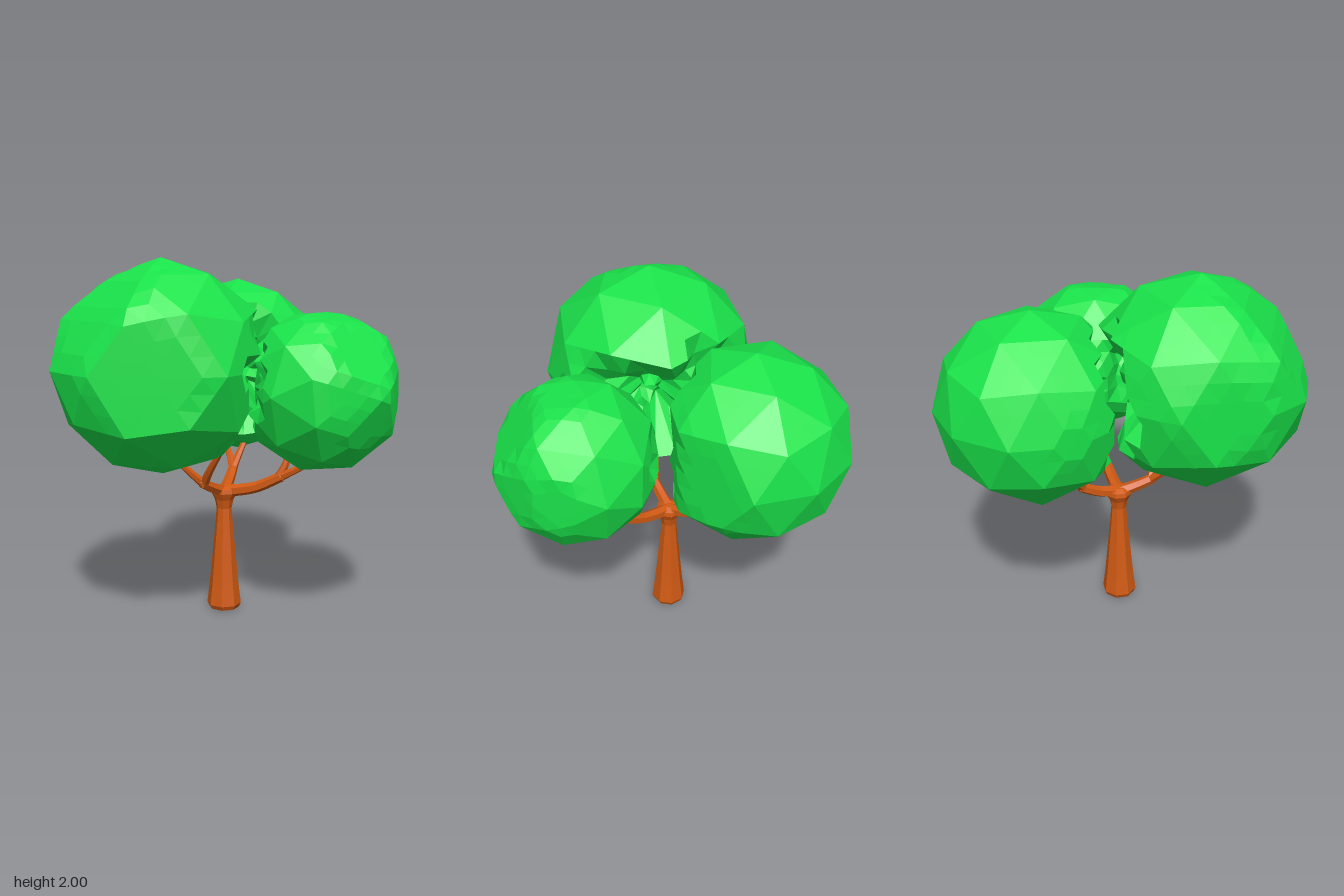
import * as THREE from 'three';
import { mergeVertices } from 'three/addons/utils/BufferGeometryUtils.js';

const leafMat = new THREE.MeshStandardMaterial({ color: 0x1ae34a, flatShading: true, side: THREE.DoubleSide });
const barkMat = new THREE.MeshStandardMaterial({ color: 0xd05a14, flatShading: true });
const V = (x, y, z) => new THREE.Vector3(x, y, z);

// Repeatable value in 0..1 for a point
const hash = (p) => {
  const s = Math.sin(p.x * 127.1 + p.y * 311.7 + p.z * 74.7) * 437.5;
  return s - Math.floor(s);
};

// Low-poly ball whose flat facets are split into k*k smaller triangles
function facetedBall(k) {
  const src = new THREE.IcosahedronGeometry(1, 1).attributes.position;
  const out = [];
  for (let f = 0; f < src.count; f += 3) {
    const [a, b, c] = [0, 1, 2].map((i) => V().fromBufferAttribute(src, f + i));
    const at = (i, j) => a.clone().multiplyScalar((k - i - j) / k)
      .addScaledVector(b, i / k).addScaledVector(c, j / k);
    for (let i = 0; i < k; i++) {
      for (let j = 0; j < k - i; j++) {
        out.push(at(i, j), at(i + 1, j), at(i, j + 1));
        if (i + j < k - 1) out.push(at(i + 1, j), at(i + 1, j + 1), at(i, j + 1));
      }
    }
  }
  return mergeVertices(new THREE.BufferGeometry().setFromPoints(out), 1e-4);
}

// Crowns: flats are [direction, distance] planes that plane the ball down,
// bites are [centre, radius] round hollows on the sides facing the neighbours
const right = V(-0.36, 1.43, -0.04);
const back = V(0.43, 1.37, -0.40);
const front = V(0.31, 1.31, 0.48);
const crowns = [
  { name: 'rightCrown', c: right, size: [0.597, 0.572, 0.572], yaw: 0.314, tilt: 0,
    flats: [[V(-0.63, 0, 0.775), 0.48], [V(-0.406, 0, -0.914), 0.508], [V(-0.846, 0.533, 0), 0.5],
      [V(-0.68, 0.73, 0), 0.49], [V(-0.5, 0.87, 0), 0.51]],
    bites: [[back, 0.52], [front, 0.47], [V(0.08, 1.32, 0.04), 0.24]] },
  { name: 'backLeftCrown', c: back, size: [0.515, 0.512, 0.512], yaw: 0.36, tilt: 0,
    flats: [[V(-0.62, 0, -0.78), 0.48], [V(0.65, 0, 0.76), 0.43], [V(0, 0, 1), 0.42]],
    bites: [[right, 0.62], [V(-0.28, 1.37, 0.31), 0.77]] },
  { name: 'frontLeftCrown', c: front, size: [0.437, 0.437, 0.437], yaw: 0.2, tilt: 0.55,
    flats: [[V(-0.33, 0, 0.944), 0.395], [V(0.58, 0, 0.81), 0.387], [V(0.89, 0, 0.45), 0.39],
      [V(0, 0.607, 0.794), 0.36], [V(0, 0.98, 0.19), 0.39], [V(0, -0.41, 0.91), 0.39]],
    bites: [[right, 0.54], [back, 0.5]] },
];

// Leaf ball with planed facets and ragged hollows
function crown({ name, c, size, yaw, tilt, flats, bites }) {
  let geo = facetedBall(3);
  geo.rotateX(-Math.atan(1.618) + tilt).rotateY(yaw).scale(...size);
  const pos = geo.attributes.position;
  const p = V();
  for (let i = 0; i < pos.count; i++) {
    p.fromBufferAttribute(pos, i);
    const ragged = (hash(p) - 0.5) * 0.11;
    let s = 1;
    for (const [dir, dist] of flats) {
      const d = p.dot(dir);
      if (d > dist) s = Math.min(s, dist / d);
    }
    for (const [centre, radius] of bites) {
      // Where the ray from the crown's middle enters the bite
      const o = centre.clone().sub(c);
      const r = radius + ragged;
      const a = p.lengthSq();
      const b = p.dot(o);
      const disc = b * b - a * (o.lengthSq() - r * r);
      if (b > 0 && disc > 0) s = Math.min(s, (b - Math.sqrt(disc)) / a);
    }
    p.multiplyScalar(s);
    pos.setXYZ(i, p.x, p.y, p.z);
  }
  geo = geo.toNonIndexed();
  geo.computeVertexNormals();
  const mesh = new THREE.Mesh(geo, leafMat);
  mesh.name = name;
  mesh.position.copy(c);
  return mesh;
}

// Tapered six-sided limb along a curve, closed at the tip by a point
function limb(name, points, r0, r1) {
  const n = 7;
  const m = 6;
  const curve = new THREE.CatmullRomCurve3(points);
  const geo = new THREE.TubeGeometry(curve, n, 1, m, false);
  const pos = geo.attributes.position;
  const p = V();
  for (let i = 0; i <= n; i++) {
    const centre = curve.getPointAt(i / n);
    const r = r0 + (r1 - r0) * (i / n);
    for (let j = 0; j <= m; j++) {
      const k = i * (m + 1) + j;
      p.fromBufferAttribute(pos, k).sub(centre).multiplyScalar(r).add(centre);
      pos.setXYZ(k, p.x, p.y, p.z);
    }
  }
  geo.computeVertexNormals();
  const group = new THREE.Group();
  group.name = name;
  const tip = new THREE.Mesh(new THREE.ConeGeometry(r1, r1, m), barkMat);
  const dir = curve.getTangentAt(1);
  tip.position.copy(points[points.length - 1]).addScaledVector(dir, r1 / 2);
  tip.quaternion.setFromUnitVectors(V(0, 1, 0), dir);
  group.add(new THREE.Mesh(geo, barkMat), tip);
  return group;
}

export function createModel() {
  const tree = new THREE.Group();
  tree.name = 'tree';

  // Trunk with a chamfered foot and a flared top
  const profile = [[0, 0.005], [0.085, 0.01], [0.098, 0.035], [0.083, 0.16], [0.066, 0.34],
    [0.049, 0.52], [0.043, 0.6], [0.054, 0.65], [0.074, 0.69], [0.07, 0.715], [0.035, 0.73], [0, 0.73]];
  const trunk = new THREE.Mesh(
    new THREE.LatheGeometry(profile.map(([x, y]) => new THREE.Vector2(x, y)), 8), barkMat);
  trunk.name = 'trunk';
  trunk.position.set(0.068, 0, -0.06);
  tree.add(trunk);

  // Three boughs, each forking into two twigs
  const root = V(0.068, 0.695, -0.06);
  const boughs = [
    { name: 'rightBough', fork: V(-0.12, 0.775, -0.01), twigs: [V(-0.12, 0.98, 0.16), V(-0.26, 0.92, -0.07)] },
    { name: 'backBough', fork: V(0.25, 0.79, -0.21), twigs: [V(0.37, 0.95, -0.24), V(0.28, 0.95, -0.34)] },
    { name: 'frontBough', fork: V(0.24, 0.81, 0.24), twigs: [V(0.28, 0.96, 0.26), V(0.33, 0.91, 0.4)] },
  ];
  for (const { name, fork, twigs } of boughs) {
    const mid = root.clone().lerp(fork, 0.55);
    mid.y = 0.735;
    tree.add(limb(name, [root, mid, fork], 0.036, 0.028));
    for (const end of twigs) {
      const bend = fork.clone().lerp(end, 0.4);
      tree.add(limb(name + 'Twig', [fork.clone().lerp(mid, 0.15), bend, end], 0.026, 0.015));
    }
  }

  for (const spec of crowns) tree.add(crown(spec));
  return tree;
}
